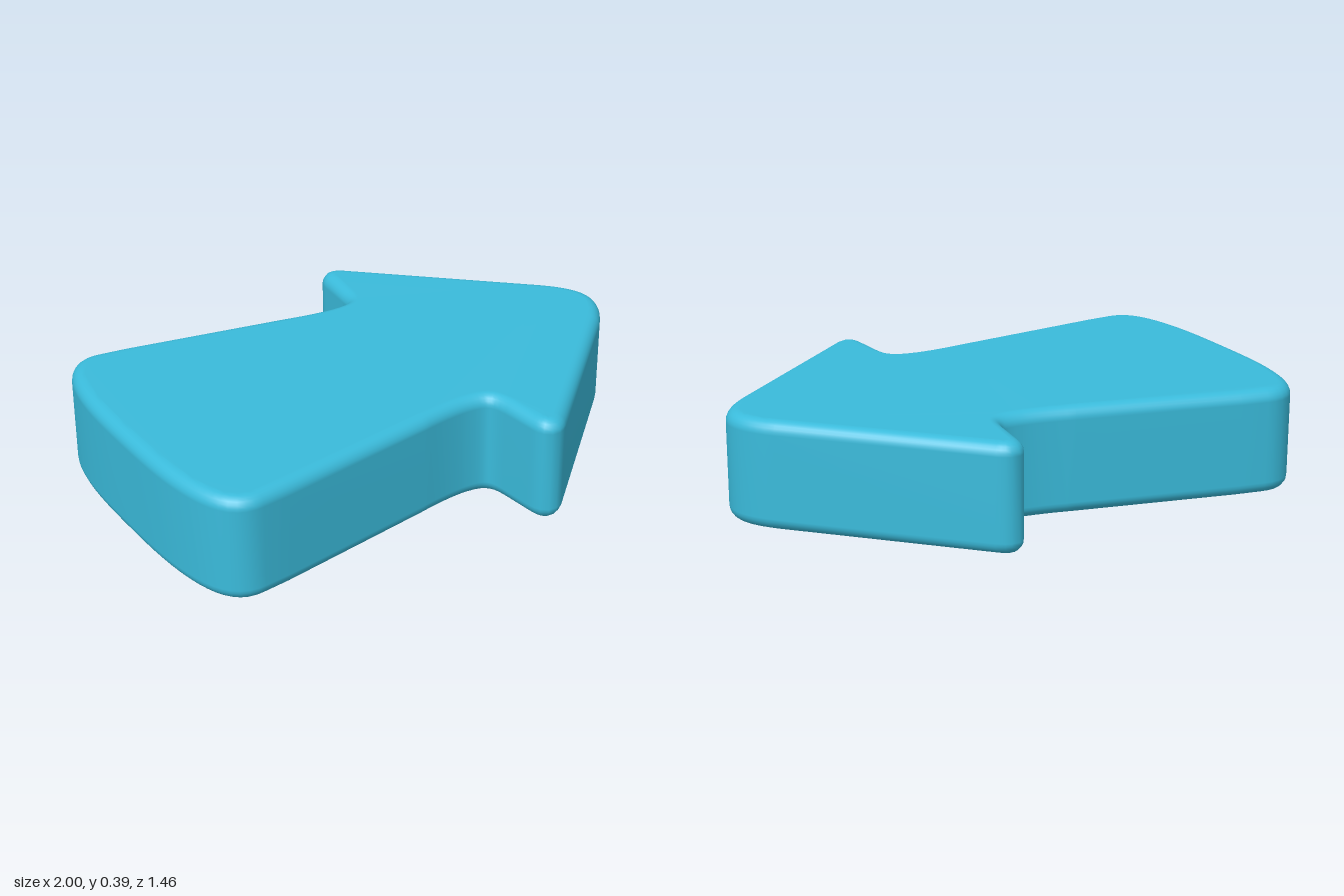
import * as THREE from 'three';
import { mergeVertices } from 'three/addons/utils/BufferGeometryUtils.js';

const BEVEL = 0.045;
const HEIGHT = 0.39;

// Half of the arrow's core outline, from tail centre to tip; the bevel grows it outward.
function halfOutline() {
  const s = new THREE.Shape();
  s.moveTo(-0.955, 0);
  s.bezierCurveTo(-0.955, 0.17, -0.953, 0.3, -0.925, 0.42); // tail end
  s.bezierCurveTo(-0.9, 0.52, -0.865, 0.56, -0.8, 0.549); // rounded tail corner
  s.lineTo(-0.7, 0.536);
  s.lineTo(-0.1, 0.428); // tapering shaft
  s.quadraticCurveTo(0.02, 0.402, 0.1, 0.4);
  s.bezierCurveTo(0.2, 0.4, 0.24, 0.42, 0.25, 0.52); // inner corner
  s.lineTo(0.262, 0.65);
  s.bezierCurveTo(0.266, 0.695, 0.275, 0.695, 0.305, 0.67); // barb
  s.lineTo(0.87, 0.145); // head edge
  s.bezierCurveTo(0.93, 0.085, 0.953, 0.04, 0.953, 0); // rounded tip
  return s.getPoints(8);
}

export function createModel() {
  const group = new THREE.Group();
  group.name = 'arrow';

  const blue = new THREE.MeshStandardMaterial({ color: 0x3abbdb });
  blue.name = 'sky blue';

  const half = halfOutline();
  const mirrored = half.slice(1, -1).reverse().map((p) => new THREE.Vector2(p.x, -p.y));
  const shape = new THREE.Shape([...half, ...mirrored]);

  let geometry = new THREE.ExtrudeGeometry(shape, {
    depth: HEIGHT - 2 * BEVEL,
    bevelEnabled: true,
    bevelSize: BEVEL,
    bevelThickness: BEVEL,
    bevelSegments: 6,
  });
  geometry.translate(0, 0, BEVEL);
  geometry.rotateX(-Math.PI / 2);

  // Weld the surface so the soft edges shade smoothly.
  geometry.deleteAttribute('uv');
  geometry.deleteAttribute('normal');
  geometry.clearGroups();
  geometry = mergeVertices(geometry, 1e-4);
  geometry.computeVertexNormals();

  const body = new THREE.Mesh(geometry, blue);
  body.name = 'arrowBody';
  group.add(body);
  return group;
}
